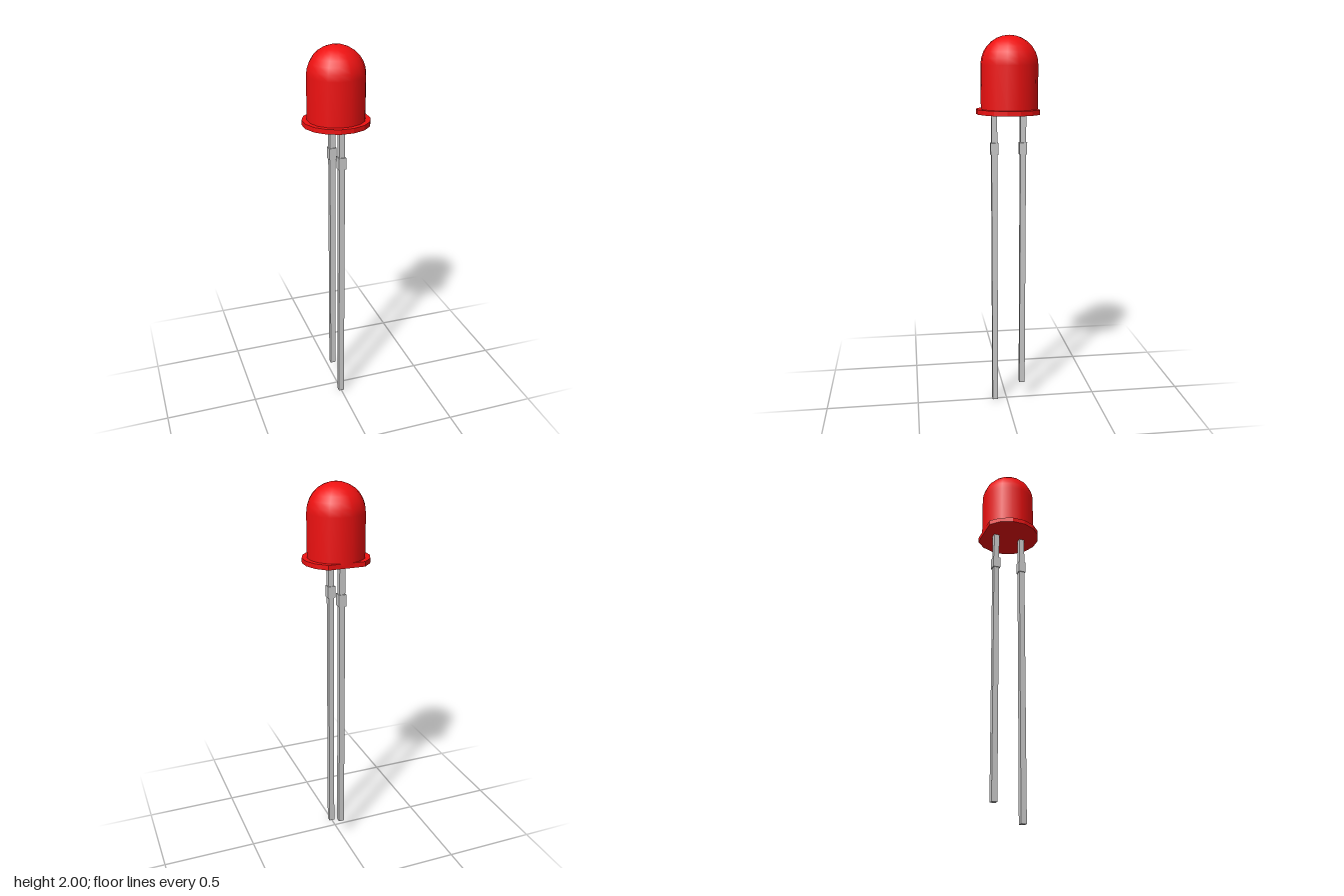
import * as THREE from 'three';

const SIDES = 16;
const STEP = (Math.PI * 2) / SIDES;
const AXIS_Z = -0.015; // the round body sits slightly behind the origin

export function createModel() {
  const group = new THREE.Group();
  const red = new THREE.MeshStandardMaterial({ color: 0xee1111 });
  const grey = new THREE.MeshStandardMaterial({ color: 0xcccccc });

  const add = (name, geometry, material, x, y, z) => {
    const mesh = new THREE.Mesh(geometry, material);
    mesh.name = name;
    mesh.position.set(x, y, z);
    group.add(mesh);
  };

  // Bulb: straight wall running smoothly into a hemispherical cap
  const r = 0.148, springY = 1.853;
  const profile = [new THREE.Vector2(r, 1.62)];
  const rings = 7;
  for (let i = 0; i <= rings; i++) {
    const a = (i / rings) * Math.PI / 2;
    profile.push(new THREE.Vector2(i === rings ? 0 : r * Math.cos(a), springY + (2 - springY) * Math.sin(a)));
  }
  add('bulb', new THREE.LatheGeometry(profile, SIDES, STEP / 2), red, 0, 0, AXIS_Z);

  // Flange: sixteen-sided rim with one flat cut across the back
  const rim = [];
  for (let i = 0; i < SIDES; i++) {
    if (i === 3 || i === 4) continue; // the two corners removed by the flat
    const a = (i + 0.5) * STEP;
    rim.push(new THREE.Vector2(0.174 * Math.cos(a), 0.174 * Math.sin(a)));
  }
  const flange = new THREE.ExtrudeGeometry(new THREE.Shape(rim), { depth: 0.025, bevelEnabled: false });
  flange.rotateX(-Math.PI / 2);
  add('flange', flange, red, 0, 1.605, AXIS_Z);

  // Square wire leads, the front one longer, each with a small stop collar
  const leads = [['front', 0.065, 0], ['back', -0.087, 0.095]];
  for (const [side, z, bottom] of leads) {
    const height = 1.61 - bottom;
    add(side + 'Lead', new THREE.BoxGeometry(0.03, height, 0.03), grey, 0, bottom + height / 2, z);
    add(side + 'Collar', new THREE.BoxGeometry(0.04, 0.062, 0.04), grey, 0, 1.424, z);
  }

  return group;
}
